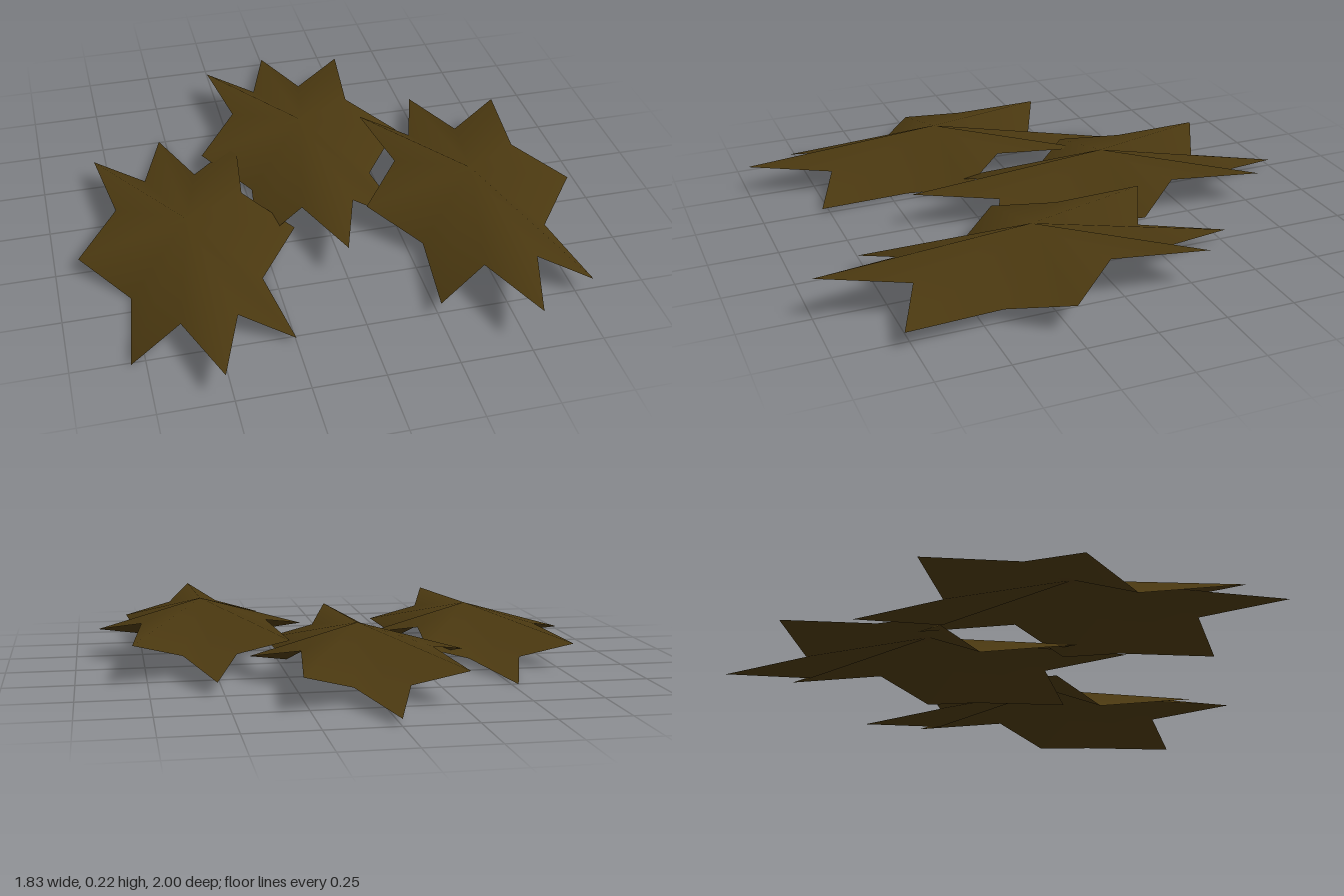
import * as THREE from 'three';

// Half outline of a leaf from front tip round to back tip: x, y below the crown, z
const HALF = [
  [0, -0.055, 0.75],
  [0.096, -0.085, 0.447],
  [0.275, -0.15, 0.533],
  [0.232, -0.166, 0.187],
  [0.39, -0.11, 0],
  [0.232, -0.06, -0.187],
  [0.275, -0.075, -0.533],
  [0.096, -0.135, -0.447],
  [0, -0.168, -0.75],
];

// Star-shaped sheet: the mirrored outline fanned from its raised crown
function leafGeometry() {
  const mirrored = HALF.slice(1, -1).reverse().map(([x, y, z]) => [-x, y, z]);
  const rim = [...HALF, ...mirrored];
  const index = [];
  rim.forEach((_, i) => index.push(0, i + 1, ((i + 1) % rim.length) + 1));
  const geometry = new THREE.BufferGeometry();
  geometry.setAttribute('position', new THREE.Float32BufferAttribute([[0, 0, 0], ...rim].flat(), 3));
  geometry.setIndex(index);
  geometry.computeVertexNormals();
  return geometry;
}

export function createModel() {
  const model = new THREE.Group();
  model.name = 'fallenLeaves';
  const leafBrown = new THREE.MeshStandardMaterial({ color: 0x4a3810, side: THREE.DoubleSide });
  leafBrown.name = 'leafBrown';
  const geometry = leafGeometry();

  // Three overlapping leaves, each a little higher than the last
  const leaves = [
    ['rightLeaf', -0.525, 0.168, 0.245],
    ['backLeaf', 0, 0.192, -0.25],
    ['leftLeaf', 0.525, 0.216, 0.245],
  ];
  for (const [name, x, y, z] of leaves) {
    const leaf = new THREE.Mesh(geometry, leafBrown);
    leaf.name = name;
    leaf.position.set(x, y, z);
    model.add(leaf);
  }
  return model;
}
